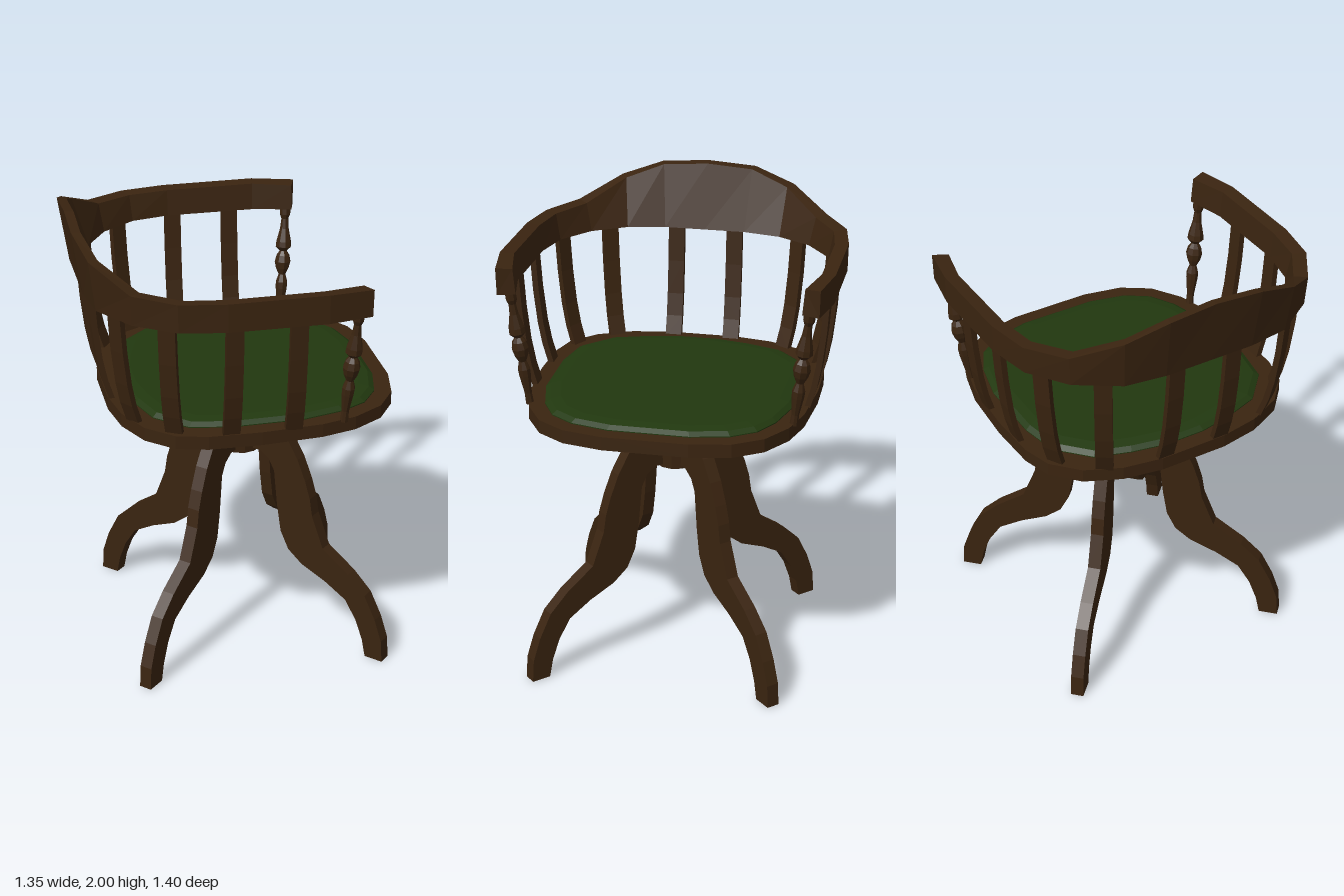
import * as THREE from 'three';

const wood = new THREE.MeshStandardMaterial({ color: 0x3a2410, flatShading: true });
wood.name = 'dark wood';
const leather = new THREE.MeshStandardMaterial({ color: 0x21380f });
leather.name = 'green leather';

// Solid skin over a list of equal-length rings of [x, y, z]; the ends are fanned shut.
function loft(rings) {
  const tris = [];
  const n = rings[0].length;
  for (let i = 0; i + 1 < rings.length; i++) {
    for (let j = 0; j < n; j++) {
      const k = (j + 1) % n;
      const [a, b, c, d] = [rings[i][j], rings[i][k], rings[i + 1][k], rings[i + 1][j]];
      tris.push([a, b, c], [a, c, d]);
    }
  }
  const first = rings[0], last = rings[rings.length - 1];
  for (let j = 1; j + 1 < n; j++) {
    tris.push([first[0], first[j + 1], first[j]], [last[0], last[j], last[j + 1]]);
  }
  // Signed volume tells whether the corners must be reversed to face outwards
  let volume = 0;
  for (const [a, b, c] of tris) {
    volume += a[0] * (b[1] * c[2] - b[2] * c[1]) + a[1] * (b[2] * c[0] - b[0] * c[2])
      + a[2] * (b[0] * c[1] - b[1] * c[0]);
  }
  if (volume < 0) tris.forEach((t) => t.reverse());
  const geometry = new THREE.BufferGeometry();
  geometry.setAttribute('position', new THREE.Float32BufferAttribute(tris.flat(2), 3));
  geometry.computeVertexNormals();
  return geometry;
}

// Full outline from its +z half
const mirrorOutline = (half) => [...half, ...half.map(([x, z]) => [x, -z]).reverse()];
const ringAt = (outline, y, s = 1, cx = 0.07) =>
  outline.map(([x, z]) => [cx + (x - cx) * s, y, z * s]);

export function createModel() {
  const chair = new THREE.Group();
  chair.name = 'swivelArmchair';
  const add = (name, geometry, material = wood, parent = chair) => {
    const mesh = new THREE.Mesh(geometry, material);
    mesh.name = name;
    parent.add(mesh);
    return mesh;
  };

  // Seat board and upholstered pad
  const seat = mirrorOutline([
    [0.675, 0.18], [0.64, 0.35], [0.56, 0.47], [0.43, 0.55], [0.28, 0.59], [0.02, 0.61],
    [-0.2, 0.605], [-0.33, 0.57], [-0.44, 0.47], [-0.51, 0.32], [-0.54, 0.15],
  ]);
  add('seatBoard', loft([ringAt(seat, 1.16), ringAt(seat, 1.218)]));
  const pad = mirrorOutline([
    [0.608, 0.17], [0.57, 0.33], [0.5, 0.43], [0.39, 0.49], [0.21, 0.535], [-0.09, 0.54],
    [-0.26, 0.51], [-0.39, 0.39], [-0.44, 0.24], [-0.47, 0.09],
  ]);
  add('seatPad', loft([
    ringAt(pad, 1.21), ringAt(pad, 1.222), ringAt(pad, 1.236, 0.96), ringAt(pad, 1.243, 0.88),
  ]), leather);

  // Centre post
  const post = add('centrePost', new THREE.CylinderGeometry(0.105, 0.088, 0.31, 12));
  post.position.set(0.066, 1.01, 0);

  // Four curved legs on the diagonals
  const legShape = new THREE.Shape([
    [0.06, 1.052], [0.14, 1.05], [0.19, 1.035], [0.255, 0.965], [0.31, 0.875], [0.35, 0.78],
    [0.375, 0.7], [0.388, 0.62], [0.445, 0.475], [0.575, 0.385], [0.66, 0.305], [0.715, 0.2],
    [0.75, 0.1], [0.757, 0], [0.672, 0], [0.655, 0.08], [0.62, 0.17], [0.565, 0.255],
    [0.46, 0.315], [0.34, 0.365], [0.27, 0.42], [0.23, 0.5], [0.21, 0.62], [0.192, 0.79],
    [0.165, 0.84], [0.12, 0.87], [0.06, 0.87],
  ].map(([r, y]) => new THREE.Vector2(r, y)));
  const legGeometry = new THREE.ExtrudeGeometry(legShape, { depth: 0.056, bevelEnabled: false });
  legGeometry.translate(0, 0, -0.028);
  for (let i = 0; i < 4; i++) {
    const leg = add('leg', legGeometry);
    leg.position.x = 0.066;
    leg.rotation.y = Math.PI / 4 + (i * Math.PI) / 2;
  }

  // Arm rail rising into the back crest.
  // Each row: top height, then x,z of outer bottom, outer top, inner top, inner bottom
  const stations = [
    [2.0, -0.635, 0, -0.675, 0, -0.635, 0, -0.565, 0],
    [1.985, -0.635, 0.2, -0.677, 0.21, -0.637, 0.2, -0.565, 0.18],
    [1.925, -0.61, 0.375, -0.637, 0.39, -0.595, 0.365, -0.53, 0.345],
    [1.838, -0.495, 0.55, -0.5, 0.558, -0.458, 0.515, -0.44, 0.49],
    [1.83, -0.33, 0.663, -0.333, 0.667, -0.305, 0.615, -0.295, 0.595],
    [1.83, -0.14, 0.698, -0.14, 0.7, -0.13, 0.642, -0.13, 0.63],
    [1.832, 0.268, 0.698, 0.268, 0.7, 0.258, 0.642, 0.258, 0.63],
    [1.825, 0.453, 0.663, 0.455, 0.665, 0.43, 0.6, 0.43, 0.59],
  ];
  const railRing = (s, side) => [
    [s[1], 1.71, side * s[2]], [s[3], s[0], side * s[4]],
    [s[5], s[0] - 0.005, side * s[6]], [s[7], 1.71, side * s[8]],
  ];
  add('armAndBackRail', loft([
    ...stations.slice(1).reverse().map((s) => railRing(s, -1)),
    ...stations.map((s) => railRing(s, 1)),
  ]));

  // Bowed flat slats: x,z at the seat, x,z at the rail, facing angle
  const slats = [
    [0.155, 0.588, 0.155, 0.66, Math.PI / 2],
    [-0.105, 0.588, -0.105, 0.66, Math.PI / 2],
    [-0.325, 0.528, -0.365, 0.605, 2.08],
    [-0.465, 0.382, -0.54, 0.43, 2.55],
    [-0.522, 0.132, -0.6, 0.132, Math.PI],
  ];
  const bow = [[1.21, 0], [1.3, 0.36], [1.4, 0.62], [1.55, 0.85], [1.72, 1]];
  for (const side of [1, -1]) {
    for (const [x0, z0, x1, z1, angle] of slats) {
      const nx = Math.cos(angle) * 0.0125, nz = Math.sin(angle) * 0.0125;
      const wx = -Math.sin(angle) * 0.036, wz = Math.cos(angle) * 0.036;
      add('slat', loft(bow.map(([y, t]) => {
        const x = x0 + (x1 - x0) * t, z = z0 + (z1 - z0) * t;
        return [[1, 1], [1, -1], [-1, -1], [-1, 1]].map(
          ([a, b]) => [x + a * nx + b * wx, y, side * (z + a * nz + b * wz)]);
      })));
    }
  }

  // Turned spindles under the arm ends
  const spindleProfile = [
    [0, 0], [0.018, 0], [0.016, 0.05], [0.026, 0.13], [0.027, 0.16], [0.016, 0.195],
    [0.03, 0.225], [0.037, 0.255], [0.03, 0.285], [0.016, 0.305], [0.036, 0.325],
    [0.034, 0.35], [0.02, 0.41], [0.016, 0.455], [0.024, 0.475], [0.024, 0.515], [0, 0.515],
  ].map(([r, y]) => new THREE.Vector2(r, y));
  const spindleGeometry = new THREE.LatheGeometry(spindleProfile, 8);
  for (const side of [1, -1]) {
    const spindle = add('turnedSpindle', spindleGeometry);
    spindle.position.set(0.375, 1.21, side * 0.56);
    const lean = new THREE.Vector3(0.035, 0.51, side * 0.06).normalize();
    spindle.quaternion.setFromUnitVectors(new THREE.Vector3(0, 1, 0), lean);
  }
  return chair;
}
